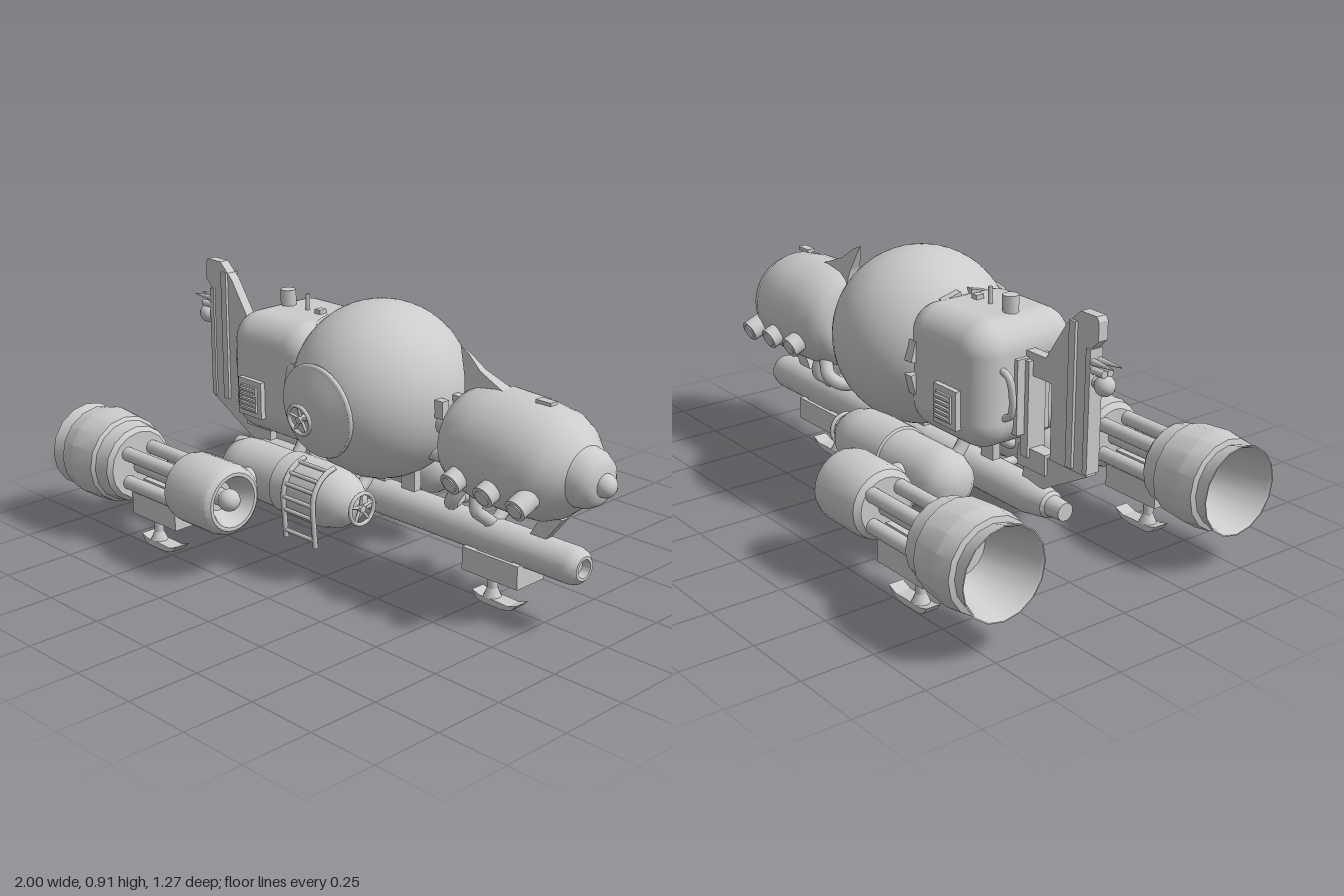
import * as THREE from 'three';
import { toCreasedNormals } from 'three/addons/utils/BufferGeometryUtils.js';
import { RoundedBoxGeometry } from 'three/addons/geometries/RoundedBoxGeometry.js';

export function createModel() {
  const root = new THREE.Group();
  const mat = new THREE.MeshStandardMaterial({ color: 0xcccccc, side: THREE.DoubleSide });
  const V = (x, y, z) => new THREE.Vector3(x, y, z);

  const add = (name, geo, x = 0, y = 0, z = 0, parent = root) => {
    const m = new THREE.Mesh(geo, mat);
    m.name = name;
    m.position.set(x, y, z);
    parent.add(m);
    return m;
  };
  const box = (name, w, h, d, x, y, z, parent) => add(name, new THREE.BoxGeometry(w, h, d), x, y, z, parent);
  // Turned body along x from [x, radius] pairs
  const turned = (name, pts, x, y, z, parent, sides = 32, crease = 0.6) => {
    const g = new THREE.LatheGeometry(pts.map(p => new THREE.Vector2(p[1], p[0])), sides).rotateZ(-Math.PI / 2);
    return add(name, toCreasedNormals(g, crease), x, y, z, parent);
  };
  // Round bar between two points
  const bar = (name, a, b, r, parent, r2 = r) => {
    const m = add(name, new THREE.CylinderGeometry(r2, r, a.distanceTo(b), 16), 0, 0, 0, parent);
    m.position.copy(a).add(b).multiplyScalar(0.5);
    m.quaternion.setFromUnitVectors(V(0, 1, 0), b.clone().sub(a).normalize());
    return m;
  };
  const pipe = (name, pts, r, parent) =>
    add(name, new THREE.TubeGeometry(new THREE.CatmullRomCurve3(pts), 24, r, 10), 0, 0, 0, parent);
  // Flat plate drawn in x, y and centred on z = 0
  const plate = (name, pts, d, z = 0, parent = root) => {
    const s = new THREE.Shape(pts.map(p => new THREE.Vector2(p[0], p[1])));
    return add(name, new THREE.ExtrudeGeometry(s, { depth: d, bevelEnabled: false }), 0, 0, z - d / 2, parent);
  };
  const group = (name, x, y, z, parent = root) => {
    const g = new THREE.Group();
    g.name = name;
    g.position.set(x, y, z);
    parent.add(g);
    return g;
  };
  // Hand wheel facing +z
  const handWheel = (name, r, x, y, z) => {
    const g = group(name, x, y, z);
    add('wheelRim', new THREE.TorusGeometry(r, 0.007, 8, 24), 0, 0, 0, g);
    for (let i = 0; i < 5; i++) {
      const a = Math.PI / 2 + i * Math.PI * 0.4;
      bar('wheelSpoke', V(0, 0, -0.008), V(Math.cos(a) * r, Math.sin(a) * r, 0), 0.005, g);
    }
    bar('wheelShaft', V(0, 0, -0.04), V(0, 0, 0.006), 0.012, g);
    return g;
  };

  // Central sphere with the domed side hatch
  add('mainSphere', new THREE.SphereGeometry(0.3, 48, 32), 0.022, 0.61, 0);
  const hatch = turned('hatch', [[-0.1, 0.155], [0.025, 0.155], [0.03, 0.14], [0.045, 0.11], [0.058, 0.06], [0.062, 0]], 0, 0.588, 0.255);
  hatch.rotation.set(0.08, -Math.PI / 2, 0, 'XYZ');
  add('hatchRing', new THREE.TorusGeometry(0.152, 0.009, 8, 40), 0, 0.588, 0.272).rotation.x = 0.08;
  handWheel('hatchWheel', 0.05, -0.01, 0.572, 0.342).rotation.x = 0.15;

  // Rear cabin
  add('cabin', new RoundedBoxGeometry(0.4, 0.42, 0.41, 6, 0.1), -0.34, 0.6, 0);
  for (let i = 0; i < 12; i++) {
    const clip = group('cabinClip', -0.2, 0.6, 0);
    clip.rotation.x = (i + 0.5) * Math.PI / 6;
    box('clipPlate', 0.035, 0.025, 0.07, 0, 0.207, 0, clip);
  }
  for (const s of [1, -1]) {
    box('ventFrame', 0.115, 0.13, 0.03, -0.393, 0.53, s * 0.208);
    box('ventPanel', 0.075, 0.09, 0.03, -0.393, 0.53, s * 0.216);
    for (let i = 0; i < 5; i++) box('ventLouvre', 0.07, 0.008, 0.012, -0.393, 0.497 + i * 0.0165, s * 0.234);
    pipe('cabinPipe', [V(-0.52, 0.67, s * 0.11), V(-0.57, 0.65, s * 0.11), V(-0.57, 0.53, s * 0.1), V(-0.52, 0.5, s * 0.1)], 0.012);
  }
  box('rearDoor', 0.03, 0.25, 0.13, -0.54, 0.57, 0);
  add('chimney', new THREE.CylinderGeometry(0.027, 0.027, 0.09, 8), -0.437, 0.82, 0);
  add('roofPipe', new THREE.CylinderGeometry(0.008, 0.008, 0.08, 8), -0.338, 0.825, 0);
  box('roofBox', 0.026, 0.03, 0.03, -0.275, 0.81, 0);

  // Tail fin with lamps
  plate('tailFin', [[-0.86, 0.89], [-0.85, 0.905], [-0.78, 0.905], [-0.72, 0.85], [-0.63, 0.715], [-0.53, 0.715],
    [-0.53, 0.64], [-0.66, 0.64], [-0.66, 0.39], [-0.83, 0.39], [-0.83, 0.8], [-0.86, 0.83]], 0.036);
  box('finRib', 0.028, 0.47, 0.056, -0.755, 0.635, 0);
  box('finRearRib', 0.02, 0.4, 0.05, -0.825, 0.6, 0);
  box('finBrace', 0.13, 0.07, 0.05, -0.58, 0.365, 0);
  box('finPost', 0.035, 0.32, 0.07, -0.555, 0.53, 0);
  plate('finFoot', [[-0.83, 0.39], [-0.53, 0.39], [-0.53, 0.28], [-0.63, 0.28]], 0.03);
  add('tailLamp', new THREE.SphereGeometry(0.033, 16, 12), -0.875, 0.695, 0);
  bar('tailLampStem', V(-0.875, 0.695, 0), V(-0.81, 0.695, 0), 0.017);
  for (const s of [1, -1]) {
    bar('tailSpike', V(-0.82, 0.76, s * 0.012), V(-0.925, 0.762, s * 0.017), 0.013, root, 0.002);
    bar('tailSpikeBase', V(-0.82, 0.735, s * 0.012), V(-0.885, 0.735, s * 0.012), 0.012);
  }

  // Front capsule, nose slightly down
  const capsule = group('frontCapsule', 0.42, 0.55, 0);
  capsule.rotation.z = -0.045;
  turned('capsuleHull', [[-0.02, 0], [-0.018, 0.12], [0, 0.152], [0.04, 0.173], [0.12, 0.188], [0.26, 0.188], [0.36, 0.178],
    [0.41, 0.155], [0.45, 0.12], [0.47, 0.098], [0.5, 0.093], [0.53, 0.075], [0.543, 0.055], [0.543, 0]], 0, 0, 0, capsule, 40);
  add('noseBall', new THREE.SphereGeometry(0.038, 20, 14), 0.545, -0.005, 0, capsule);
  for (const s of [1, -1]) for (const x of [0.11, 0.245, 0.375]) {
    const d = V(0, -0.38, s * 0.925);
    const c = V(x, 0, 0);
    bar('porthole', c.clone().addScaledVector(d, 0.1), c.clone().addScaledVector(d, 0.225), 0.038, capsule);
    bar('portholeGlass', c.clone().addScaledVector(d, 0.2), c.clone().addScaledVector(d, 0.229), 0.027, capsule);
  }
  // Capsule fin, wide at the root and sharp along the top
  const fin = plate('capsuleFin', [[0.375, 0.83], [0.41, 0.815], [0.47, 0.77], [0.57, 0.73], [0.56, 0.69], [0.42, 0.69], [0.41, 0.74]], 0.06);
  const fp = fin.geometry.attributes.position;
  for (let i = 0; i < fp.count; i++) {
    const k = THREE.MathUtils.clamp((0.835 - fp.getY(i)) / 0.14, 0.06, 1);
    fp.setZ(i, 0.03 + (fp.getZ(i) - 0.03) * k);
  }
  fin.geometry.computeVertexNormals();
  box('capsuleRoofTab', 0.06, 0.012, 0.03, 0.74, 0.733, 0.015);

  // Couplings between sphere and capsule
  bar('upperCoupling', V(0.27, 0.572, 0), V(0.44, 0.572, 0), 0.027);
  bar('lowerCoupling', V(0.22, 0.445, 0), V(0.44, 0.445, 0), 0.026);
  bar('couplingCone', V(0.3, 0.572, 0), V(0.37, 0.572, 0), 0.055, root, 0.025);
  for (const s of [1, -1]) {
    box('sphereBracket', 0.05, 0.06, 0.03, 0.325, 0.62, s * 0.04);
    pipe('bentPipe', [V(0.47, 0.41, s * 0.09), V(0.44, 0.36, s * 0.1), V(0.41, 0.33, s * 0.07), V(0.38, 0.325, 0)], 0.024);
    pipe('dropPipe', [V(0.52, 0.4, s * 0.08), V(0.53, 0.34, s * 0.085), V(0.53, 0.31, s * 0.05), V(0.53, 0.27, 0)], 0.022);
  }
  plate('capsuleStrut', [[0.68, 0.27], [0.74, 0.27], [0.82, 0.37], [0.74, 0.37]], 0.03);

  // Keel tube
  turned('keel', [[-0.72, 0], [-0.72, 0.03], [-0.66, 0.035], [-0.65, 0.045], [-0.56, 0.06], [-0.55, 0.062], [0.86, 0.062],
    [0.885, 0.055], [0.9, 0.04], [0.9, 0.03], [0.87, 0.028], [0.87, 0]], 0, 0.23, 0);
  for (const x of [-0.35, 0.02, 0.16]) box('keelPylon', 0.06, 0.2, 0.03, x, 0.34, 0);

  // Landing skid, origin on the ground under the post
  const skid = (x, z, width, top) => {
    const g = group('landingSkid', x, 0, z);
    box('skidMount', 0.235, 0.08, width, 0.04, 0.15, 0, g);
    box('skidMountUpper', 0.15, top - 0.18, width * 0.8, 0.05, (top + 0.18) / 2, 0, g);
    bar('skidPost', V(0, 0.02, 0), V(0, 0.12, 0), 0.017, g);
    add('skidAnkle', new THREE.CylinderGeometry(0.017, 0.03, 0.03, 12), 0, 0.037, 0, g);
    plate('skidFoot', [[-0.065, 0.032], [-0.045, 0.007], [-0.02, 0], [0.06, 0], [0.1, 0.008], [0.13, 0.035],
      [0.09, 0.02], [0.04, 0.022], [-0.03, 0.022]], 0.055, 0, g);
  };
  skid(0.53, 0, 0.13, 0.22);

  for (const s of [1, -1]) {
    // Side tank with a hand wheel on its nose
    turned('sideTank', [[-0.48, 0], [-0.475, 0.05], [-0.45, 0.082], [-0.41, 0.098], [-0.37, 0.1], [-0.18, 0.1], [-0.175, 0.107], [0, 0.107],
      [0.03, 0.105], [0.08, 0.09], [0.12, 0.065], [0.138, 0.035], [0.143, 0]], 0, 0.285, s * 0.228);
    handWheel('tankWheel', 0.053, 0.157, 0.28, s * 0.225).rotation.y = Math.PI / 2;
    for (const x of [-0.3, 0.04]) {
      bar('tankCrossbar', V(x, 0.225, 0), V(x, 0.225, s * 0.18), 0.016);
      pipe('tankBrace', [V(x, 0.29, s * 0.18), V(x, 0.3, s * 0.11), V(x, 0.37, s * 0.06), V(x, 0.43, s * 0.05)], 0.022);
    }

    // Outboard engine
    const e = group('engine', 0, 0.274, s * 0.472);
    turned('engineNozzle', [[-0.8, 0], [-0.8, 0.09], [-0.99, 0.142], [-1, 0.148], [-1, 0.152], [-0.945, 0.137], [-0.94, 0.155], [-0.88, 0.164],
      [-0.775, 0.155], [-0.765, 0.143], [-0.71, 0.135], [-0.695, 0.12], [-0.695, 0]], 0, 0, 0, e, 16, 0.45);
    turned('engineIntake', [[-0.43, 0], [-0.43, 0.095], [-0.415, 0.115], [-0.39, 0.122], [-0.23, 0.122], [-0.205, 0.115], [-0.192, 0.1],
      [-0.192, 0.088], [-0.27, 0.05], [-0.27, 0]], 0, 0, 0, e, 24);
    add('intakeBall', new THREE.SphereGeometry(0.038, 16, 12), -0.218, 0, 0, e);
    bar('intakeShaft', V(-0.3, 0, 0), V(-0.22, 0, 0), 0.03, e);
    bar('engineCore', V(-0.72, 0, 0), V(-0.42, 0, 0), 0.03, e);
    for (let i = 0; i < 4; i++) {
      const y = Math.sin((i + 0.5) * Math.PI / 2) * 0.074, z = Math.cos((i + 0.5) * Math.PI / 2) * 0.074;
      bar('engineRod', V(-0.72, y, z), V(-0.42, y, z), 0.025, e);
    }
    bar('engineStrut', V(-0.29, 0.285, s * 0.28), V(-0.29, 0.285, s * 0.4), 0.045);
    skid(-0.605, s * 0.472, 0.1, 0.25);
  }

  // Boarding ladder curving over the left tank
  const ladder = group('ladder', 0, 0, 0);
  const onTank = a => V(0, 0.285 + Math.sin(a) * 0.112, 0.228 + Math.cos(a) * 0.112);
  const line = [1.45, 1.1, 0.75, 0.4, 0].map(onTank).concat([V(0, 0.21, 0.335), V(0, 0.14, 0.33)]);
  for (const x of [-0.098, 0.045]) pipe('ladderRail', line.map(p => p.clone().setX(x)), 0.009, ladder);
  for (const p of [onTank(1.2), onTank(0.75), onTank(0.4), onTank(0), V(0, 0.24, 0.337), V(0, 0.165, 0.332)])
    bar('ladderRung', p.clone().setX(-0.098), p.clone().setX(0.045), 0.007, ladder);

  return root;
}
